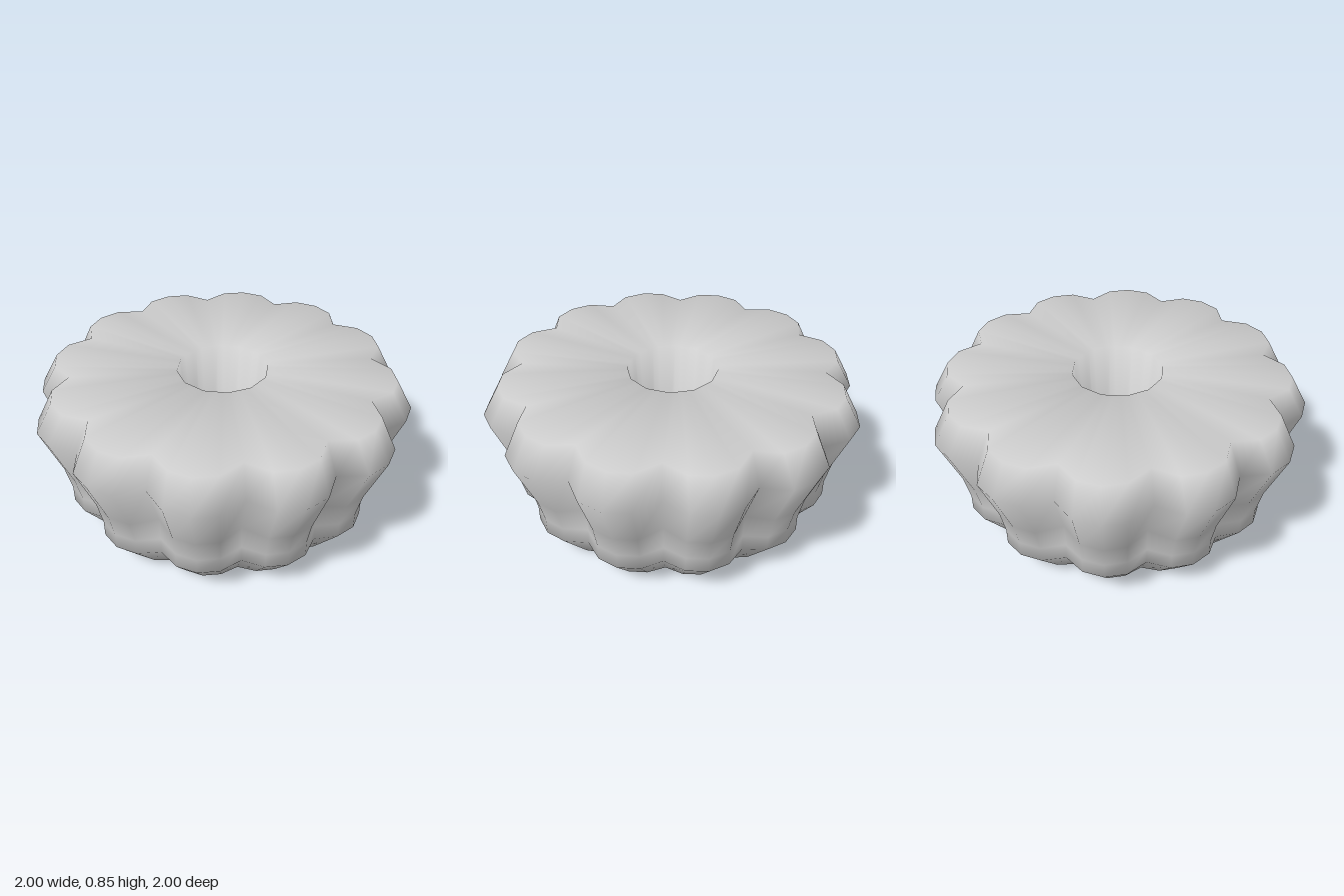
import * as THREE from 'three';

const LOBES = 12;
const STEPS = 4; // points per lobe
const N = LOBES * STEPS;

// Plan radius of a fluted ring: a valley, then three points round the lobe
function flutedRadius(i, lobe, valley) {
  return [0.91 * valley, 1.01 * lobe, 1.035 * lobe, 1.01 * lobe][i % STEPS];
}

// Radius of a twelve-sided ring with corners on the valley directions
function polygonRadius(i, radius) {
  const half = Math.PI / LOBES;
  const off = (i % STEPS) / STEPS * 2 * half - half;
  return radius * Math.cos(half) / Math.cos(off);
}

// Skin a stack of rings, with shared vertices for smooth shading
function skin(rings) {
  const pos = [], index = [];
  rings.forEach(({ y, radius }) => {
    for (let i = 0; i < N; i++) {
      const a = i / N * Math.PI * 2, r = radius(i);
      pos.push(r * Math.cos(a), y, r * Math.sin(a));
    }
  });
  for (let k = 0; k < rings.length - 1; k++) {
    for (let i = 0; i < N; i++) {
      const j = (i + 1) % N;
      const a = k * N + i, b = k * N + j, c = a + N, d = b + N;
      index.push(a, c, b, b, c, d);
    }
  }
  // Close both ends with a centre point
  [0, rings.length - 1].forEach((k) => {
    const centre = pos.length / 3;
    pos.push(0, rings[k].y, 0);
    for (let i = 0; i < N; i++) {
      const a = k * N + i, b = k * N + (i + 1) % N;
      if (k === 0) index.push(centre, a, b);
      else index.push(centre, b, a);
    }
  });
  const geo = new THREE.BufferGeometry();
  geo.setAttribute('position', new THREE.Float32BufferAttribute(pos, 3));
  geo.setIndex(index);
  geo.computeVertexNormals();
  return geo;
}

export function createModel() {
  const group = new THREE.Group();
  group.name = 'flutedBody';
  const grey = new THREE.MeshStandardMaterial({ color: 0xcccccc });
  grey.name = 'light grey';

  // Fluted wall from the foot up: height, lobe scale, valley scale
  const wall = [
    [0, 0.72, 0.747], [0.18, 0.865, 0.885], [0.27, 0.865, 0.88],
    [0.41, 0.895, 0.885], [0.68, 1, 1], [0.845, 0.91, 0.912],
  ].map(([y, lobe, valley]) => ({ y, radius: (i) => flutedRadius(i, lobe, valley) }));

  // Flat top running in to a tapered, twelve-sided well with a floor
  const well = [[0.845, 0.25], [0.35, 0.215]]
    .map(([y, r]) => ({ y, radius: (i) => polygonRadius(i, r) }));

  const body = new THREE.Mesh(skin([...wall, ...well]), grey);
  body.name = 'flutedBowlWithWell';
  group.add(body);
  return group;
}
